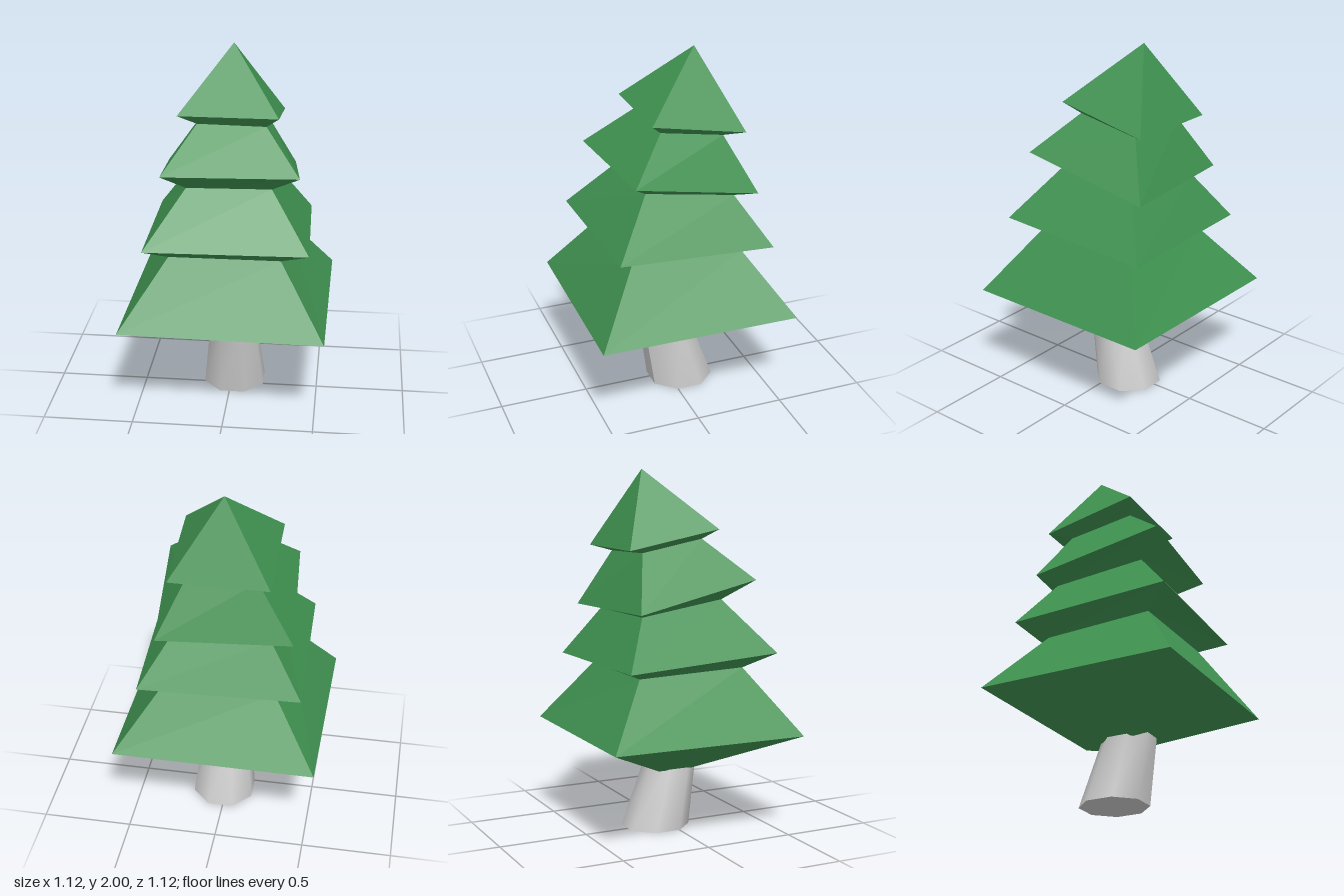
import * as THREE from 'three';

// Four-cornered loops from the bottom up: front left, front right, back right, back left
// (as seen from the front).
const LOOPS = [
  [[-0.10, 0.335, 0.10], [0.10, 0.335, 0.10], [0.10, 0.335, -0.10], [-0.10, 0.335, -0.10]],
  [[-0.563, 0.565, 0.55], [0.55, 0.562, 0.56], [0.561, 0.565, -0.553], [-0.552, 0.568, -0.563]],
  [[-0.31, 0.925, 0.305], [0.30, 0.93, 0.31], [0.31, 0.905, -0.32], [-0.30, 0.905, -0.31]],
  [[-0.43, 1.01, 0.455], [0.455, 1.01, 0.427], [0.43, 0.955, -0.458], [-0.455, 0.96, -0.43]],
  [[-0.22, 1.295, 0.22], [0.24, 1.30, 0.21], [0.26, 1.222, -0.29], [-0.27, 1.228, -0.28]],
  [[-0.338, 1.405, 0.37], [0.392, 1.40, 0.315], [0.335, 1.245, -0.40], [-0.395, 1.255, -0.343]],
  [[-0.17, 1.625, 0.125], [0.20, 1.615, 0.11], [0.19, 1.55, -0.25], [-0.19, 1.56, -0.24]],
  [[-0.27, 1.68, 0.178], [0.27, 1.68, 0.18], [0.27, 1.58, -0.348], [-0.27, 1.58, -0.348]],
];
const TIP = [0, 2, -0.155];

function foliageGeometry() {
  const positions = [];
  const tri = (...corners) => corners.forEach((c) => positions.push(...c));
  LOOPS.forEach((loop, i) => {
    const next = LOOPS[i + 1];
    for (let k = 0; k < 4; k++) {
      const m = (k + 1) % 4;
      if (next) {
        tri(loop[k], loop[m], next[m]);
        tri(loop[k], next[m], next[k]);
      } else {
        tri(loop[k], loop[m], TIP);
      }
    }
  });
  // Underside cap
  const [a, b, c, d] = LOOPS[0];
  tri(a, c, b);
  tri(a, d, c);
  const geometry = new THREE.BufferGeometry();
  geometry.setAttribute('position', new THREE.Float32BufferAttribute(positions, 3));
  geometry.computeVertexNormals();
  return geometry;
}

// Tapered eight-sided trunk, leaning forward as it rises
function trunkGeometry() {
  const height = 0.4;
  const geometry = new THREE.CylinderGeometry(0.138, 0.184, height, 8);
  geometry.rotateY(Math.PI / 8);
  geometry.translate(0, height / 2, 0);
  const p = geometry.attributes.position;
  for (let i = 0; i < p.count; i++) {
    const t = p.getY(i) / height;
    p.setX(i, p.getX(i) + 0.017);
    p.setZ(i, p.getZ(i) * 1.04 - 0.07 + 0.1 * t);
  }
  geometry.computeVertexNormals();
  return geometry;
}

export function createModel() {
  const model = new THREE.Group();
  model.name = 'pineTree';

  const foliage = new THREE.Mesh(
    foliageGeometry(),
    new THREE.MeshStandardMaterial({ color: 0x3f9150, flatShading: true }),
  );
  foliage.name = 'foliage';

  const trunk = new THREE.Mesh(trunkGeometry(), new THREE.MeshStandardMaterial({ color: 0xcccccc }));
  trunk.name = 'trunk';

  model.add(foliage, trunk);
  return model;
}
